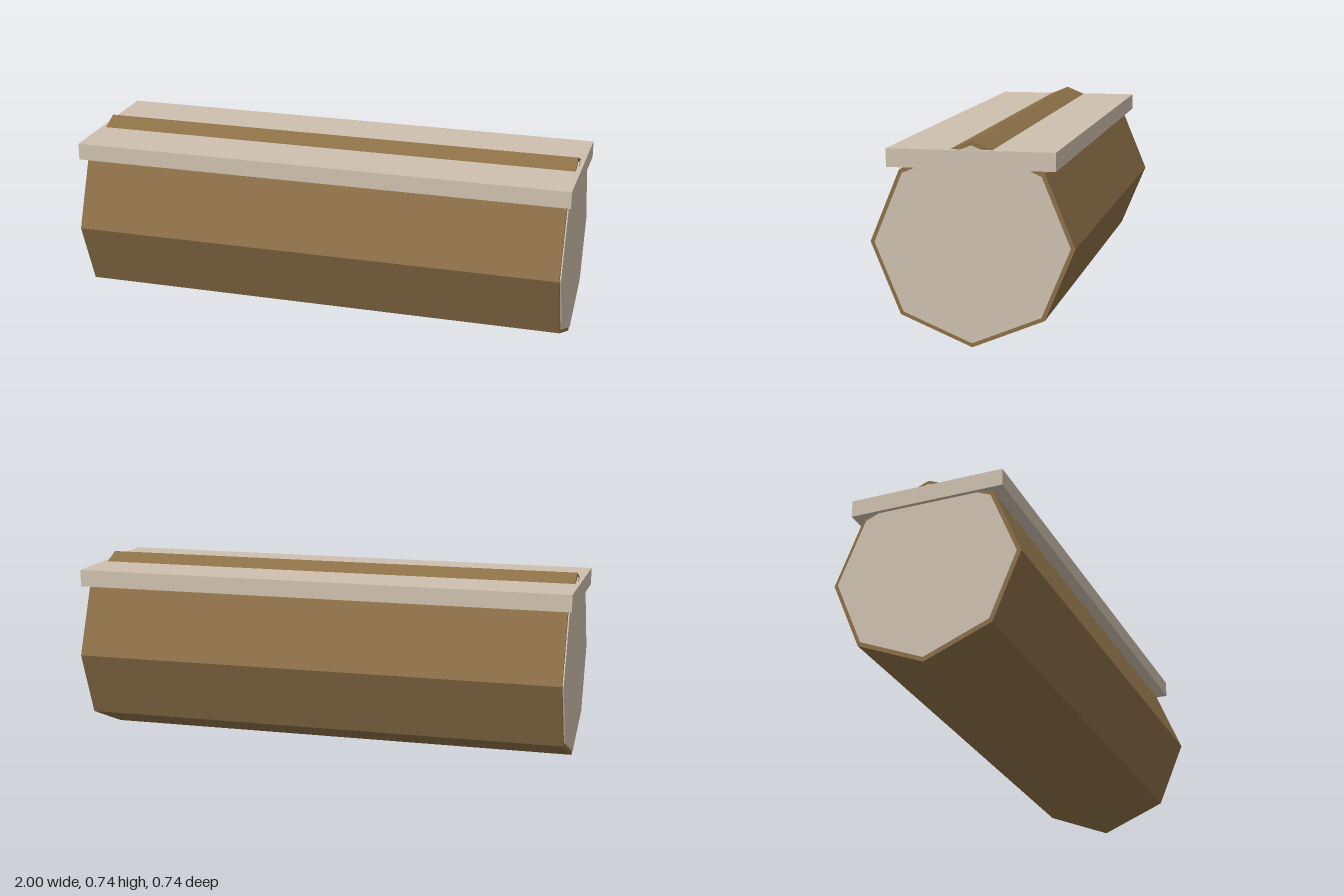
import * as THREE from 'three';

export function createModel() {
  const model = new THREE.Group();
  model.name = 'logBench';

  const bark = new THREE.MeshStandardMaterial({ color: 0x8b6f47 });
  bark.name = 'bark brown';
  const wood = new THREE.MeshStandardMaterial({ color: 0xcdbfae });
  wood.name = 'cut wood beige';

  const radius = 0.372;

  // Octagonal prism lying along x, with one corner pointing up
  function prism(name, r, length, x, material) {
    const geometry = new THREE.CylinderGeometry(r, r, length, 8).toNonIndexed();
    geometry.rotateZ(Math.PI / 2);
    geometry.computeVertexNormals();
    const mesh = new THREE.Mesh(geometry, material);
    mesh.name = name;
    mesh.position.set(x, radius, 0);
    model.add(mesh);
  }

  // Log body
  prism('log', radius, 1.96, 0, bark);

  // Cut faces, standing slightly proud of the bark
  for (const [name, side] of [['leftCutEnd', 1], ['rightCutEnd', -1]]) {
    prism(name, 0.356, 0.008, side * 0.981, wood);
  }

  // Flat seat plank, with the ridge of the log showing through its top
  const seat = new THREE.Mesh(new THREE.BoxGeometry(2, 0.067, 0.61), wood);
  seat.name = 'seatPlank';
  seat.position.y = 0.679;
  model.add(seat);

  return model;
}
